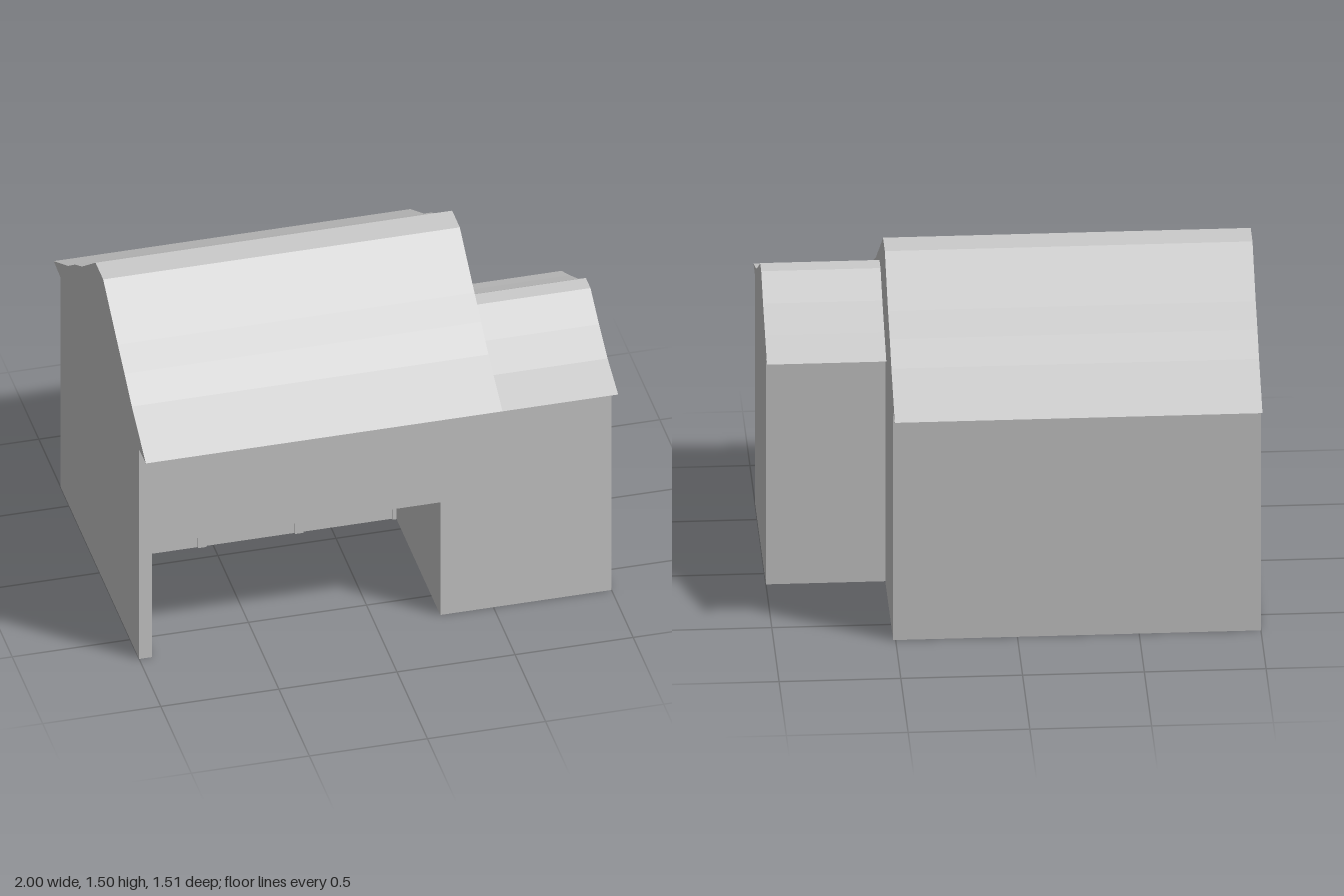
import * as THREE from 'three';

const material = new THREE.MeshStandardMaterial({ color: 0xcccccc, flatShading: true });

export function createModel() {
  const barn = new THREE.Group();
  barn.name = 'barn';

  const add = (name, geometry) => {
    const mesh = new THREE.Mesh(geometry, material);
    mesh.name = name;
    barn.add(mesh);
    return mesh;
  };

  // Box given by its lower and upper limits on each axis
  const block = (name, x0, x1, y0, y1, z0, z1) =>
    add(name, new THREE.BoxGeometry(x1 - x0, y1 - y0, z1 - z0)
      .translate((x0 + x1) / 2, (y0 + y1) / 2, (z0 + z1) / 2));

  const outline = points => new THREE.Shape(points.map(p => new THREE.Vector2(...p)));

  // Cross-section of [z, y] points swept along x
  const sweep = (name, points, x0, x1) =>
    add(name, new THREE.ExtrudeGeometry(outline(points), { depth: x1 - x0, bevelEnabled: false })
      .rotateY(-Math.PI / 2).translate(x1, 0, 0));

  const front = 0.645, back = -0.645, ceiling = 0.56, eaves = 1.04;
  const stallFront = -0.1, stallBack = -0.6;
  const openLeft = 0.275, openRight = -0.945, mainEnd = 0.51;

  // Main block above the open ground floor, with its bell-shaped roof
  sweep('mainUpperStoreyAndRoof', [
    [front, ceiling], [front, eaves], [0.755, 1.045], [0.525, 1.175], [0.405, 1.258],
    [0.295, 1.33], [0.055, 1.495], [-0.07, 1.495], [-0.29, 1.33], [-0.41, 1.26],
    [-0.52, 1.18], [-0.755, 1.048], [back, eaves], [back, ceiling],
  ], -1, mainEnd);

  // Lower side wing
  sweep('sideWing', [
    [front, 0], [front, eaves], [0.755, 1.045], [0.58, 1.108], [0.44, 1.185],
    [0.3, 1.272], [0.225, 1.272], [0.1, 1.185], [-0.04, 1.11], [-0.175, 1.042],
    [-0.1, eaves], [-0.1, 0],
  ], mainEnd, 1);

  // Ground floor walls around the porch and stalls
  block('frontRoom', openLeft, mainEnd, 0, ceiling, stallFront, front);
  block('rightWall', -1, openRight, 0, ceiling, back, front);
  block('backWall', openRight, mainEnd, 0, ceiling, back, stallBack);
  block('leftStallWall', mainEnd - 0.01, mainEnd, 0, ceiling, stallBack, stallFront);

  // Stall dividers, each held between a front and a back post
  const dividers = [-0.547, -0.137, openLeft];
  for (const x of dividers) {
    block('stallDivider', x - 0.008, x + 0.008, 0, ceiling, stallBack, stallFront);
    for (const z of [stallFront + 0.01, stallBack + 0.02]) {
      block('stallPost', x - 0.018, x + 0.018, 0, ceiling, z - 0.018, z + 0.018);
    }
  }

  // Low stall fronts, dipped in the middle
  const stalls = [[openRight, -0.565], [-0.53, -0.155], [-0.12, openLeft]];
  for (const [a, b] of stalls) {
    const panel = outline([
      [a, 0], [b, 0], [b, 0.32], [b - 0.03, 0.32], [b - 0.095, 0.255],
      [a + 0.095, 0.255], [a + 0.03, 0.32], [a, 0.32],
    ]);
    add('stallFront', new THREE.ExtrudeGeometry(panel, { depth: 0.02, bevelEnabled: false })
      .translate(0, 0, stallFront));
  }

  return barn;
}
